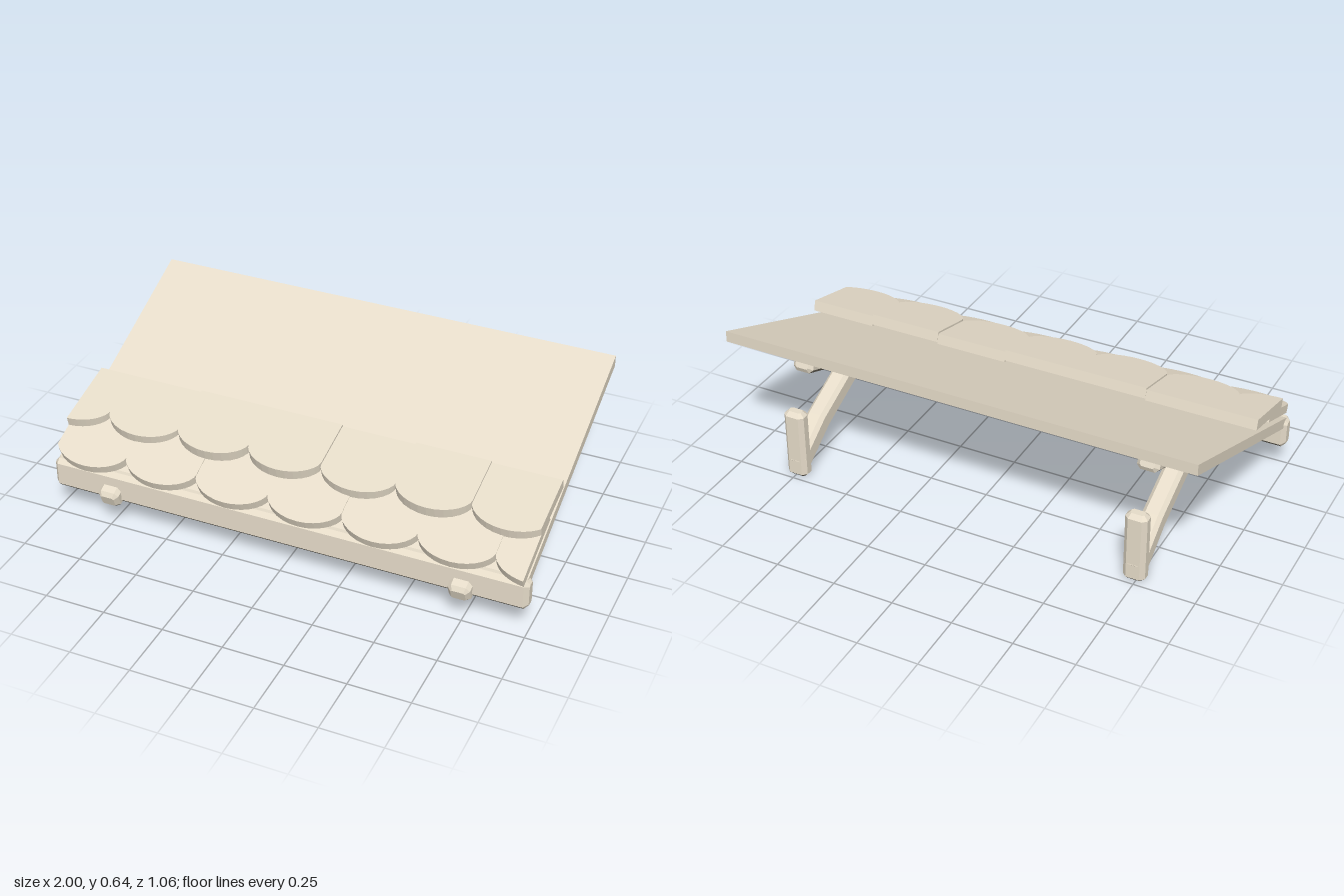
import * as THREE from 'three';

function material(name, color) {
  const m = new THREE.MeshStandardMaterial({ color });
  m.name = name;
  return m;
}
const materials = [material('pale wood', 0xe6dcc9), material('dark underside', 0x7b7669)];

// Mesh whose downward faces take the dark underside colour.
function mesh(geometry, name) {
  const p = geometry.attributes.position;
  const faces = [[], []];
  const t = new THREE.Triangle(), n = new THREE.Vector3();
  for (let i = 0; i < p.count; i += 3) {
    t.setFromAttributeAndIndices(p, i, i + 1, i + 2);
    t.getNormal(n);
    for (const v of [t.a, t.b, t.c]) faces[n.y < -0.61 ? 1 : 0].push(v.x, v.y, v.z);
  }
  const g = new THREE.BufferGeometry();
  g.setAttribute('position', new THREE.Float32BufferAttribute(faces.flat(), 3));
  g.addGroup(0, faces[0].length / 3, 0);
  g.addGroup(faces[0].length / 3, faces[1].length / 3, 1);
  g.computeVertexNormals();
  const m = new THREE.Mesh(g, materials);
  m.name = name;
  return m;
}

// Chamfered beam along a path of [z, y] points; w is its width in x, h its depth, c the chamfer.
function beam(path, w, h, c) {
  const pts = path.map(([z, y]) => new THREE.Vector2(z, y));
  const dirs = pts.slice(1).map((p, i) => p.clone().sub(pts[i]).normalize());
  const rings = [];
  const addRing = (centre, normal, inset) => {
    const a = w / 2 - inset, b = h / 2 - inset, k = inset ? c * 0.4 : c;
    const section = [[a, b - k], [a - k, b], [-a + k, b], [-a, b - k],
      [-a, -b + k], [-a + k, -b], [a - k, -b], [a, -b + k]];
    rings.push(section.map(([x, n]) =>
      new THREE.Vector3(x, centre.y + normal.y * n, centre.x + normal.x * n)));
  };
  const perp = (d) => new THREE.Vector2(-d.y, d.x);
  const last = pts.length - 1;
  pts.forEach((p, i) => {
    if (i === 0) {
      addRing(p, perp(dirs[0]), c);
      addRing(p.clone().addScaledVector(dirs[0], c), perp(dirs[0]), 0);
    } else if (i === last) {
      addRing(p.clone().addScaledVector(dirs[i - 1], -c), perp(dirs[i - 1]), 0);
      addRing(p, perp(dirs[i - 1]), c);
    } else {
      const mid = dirs[i - 1].clone().add(dirs[i]).normalize();
      addRing(p, perp(mid).divideScalar(mid.dot(dirs[i])), 0);
    }
  });
  const pos = [];
  const tri = (...vs) => vs.forEach((v) => pos.push(v.x, v.y, v.z));
  for (let r = 0; r < rings.length - 1; r++) {
    for (let i = 0; i < 8; i++) {
      const j = (i + 1) % 8, A = rings[r], B = rings[r + 1];
      tri(A[i], A[j], B[j]);
      tri(A[i], B[j], B[i]);
    }
  }
  const end = rings[rings.length - 1];
  for (let i = 1; i < 7; i++) {
    tri(rings[0][0], rings[0][i + 1], rings[0][i]);
    tri(end[0], end[i], end[i + 1]);
  }
  const g = new THREE.BufferGeometry();
  g.setAttribute('position', new THREE.Float32BufferAttribute(pos, 3));
  return g;
}

// Shingle with a rounded front, clipped at the roof ends; its top back edge lies on the origin.
function shingle(x0, x1, notch, tip, thick, slope) {
  const edge = 0.988, mid = (x0 + x1) / 2, half = (x1 - x0) / 2;
  const a = Math.max(x0, -edge), b = Math.min(x1, edge);
  const shape = new THREE.Shape();
  shape.moveTo(a, 0);
  shape.lineTo(b, 0);
  const n = 14;
  for (let i = 0; i <= n; i++) {
    const x = (a + b) / 2 + ((b - a) / 2) * Math.cos((i / n) * Math.PI);
    const u = (x - mid) / half;
    shape.lineTo(x, notch + (tip - notch) * Math.pow(Math.max(0, 1 - u * u), 0.6));
  }
  const g = new THREE.ExtrudeGeometry(shape, { depth: thick, bevelEnabled: false });
  g.rotateX(Math.PI / 2 + slope);
  return g;
}

export function createModel() {
  const group = new THREE.Group();
  group.name = 'awning roof';

  // Sloping roof panel
  const profile = new THREE.Shape([[-0.46, 0.248], [0.532, 0.648], [0.532, 0.601], [-0.46, 0.201]]
    .map(([x, y]) => new THREE.Vector2(x, y)));
  const panel = new THREE.ExtrudeGeometry(profile, { depth: 1.976, bevelEnabled: false });
  panel.rotateY(Math.PI / 2);
  panel.translate(-0.988, 0, 0);
  group.add(mesh(panel, 'roofPanel'));

  // Front fascia board
  const board = beam([[-1, 0], [1, 0]], 0.071, 0.131, 0.018);
  board.rotateY(Math.PI / 2);
  board.translate(0, 0.183, 0.459);
  group.add(mesh(board, 'fasciaBoard'));

  // Two overlapping courses of shingles
  const pitch = 0.308;
  const lower = new THREE.Group();
  lower.name = 'lowerShingles';
  const upper = new THREE.Group();
  upper.name = 'upperShingles';
  const lift = [0, 0, 0.008, 0.008, 0, 0.008, 0];
  for (let i = 0; i < 7; i++) {
    const xl = -0.992 + i * pitch;
    const low = mesh(shingle(xl, xl + pitch, 0.222, 0.306, 0.037, 0.375), 'shingle');
    low.position.set(0, 0.397 + (i % 2) * 0.003, 0.246);
    lower.add(low);
    const xu = -1.143 + i * pitch;
    const up = mesh(shingle(xu, xu + pitch, 0.212, 0.298, 0.044, 0.245), 'shingle');
    up.position.set(0, 0.456 + lift[i], 0.098);
    upper.add(up);
  }
  group.add(lower, upper);

  // Two supports: rafter, curved brace and wall post
  for (const x of [-0.741, 0.741]) {
    const support = new THREE.Group();
    support.name = x > 0 ? 'leftSupport' : 'rightSupport';
    support.position.x = x;
    support.add(
      mesh(beam([[0.524, 0.136], [-0.388, 0.493]], 0.09, 0.08, 0.016), 'rafter'),
      mesh(beam([[0.1, 0.318], [0.03, 0.306], [-0.088, 0.273], [-0.305, 0.175],
        [-0.475, 0.06]], 0.084, 0.086, 0.016), 'brace'),
      mesh(beam([[-0.458, 0.003], [-0.458, 0.308]], 0.09, 0.063, 0.017), 'wallPost'),
    );
    group.add(support);
  }
  return group;
}
